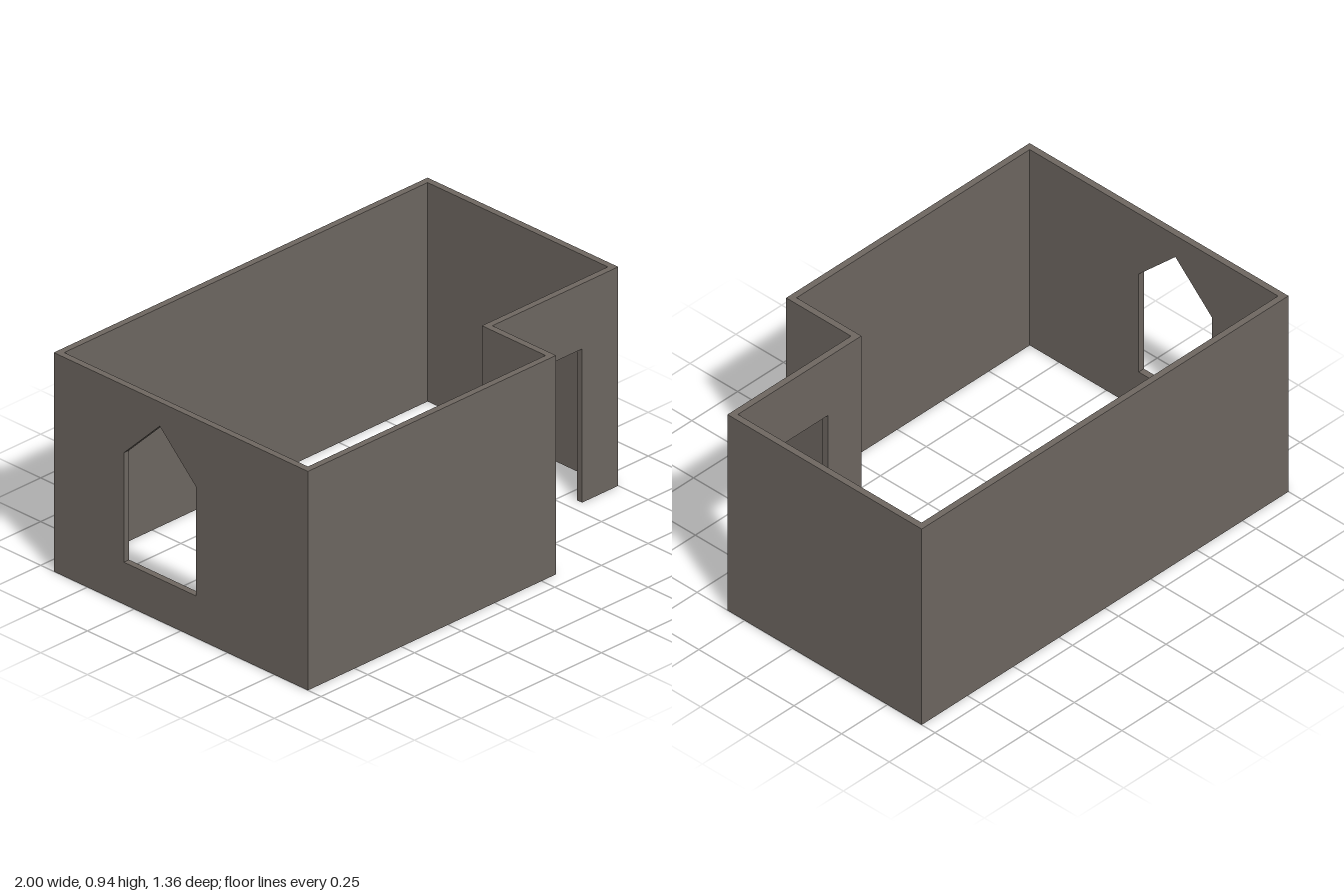
import * as THREE from 'three';

const HEIGHT = 0.937, THICK = 0.028;

// Outer corners [x, z], running so that each wall faces outward.
const CORNERS = [[-1, 0.68], [0.327, 0.68], [0.327, 0.34], [1, 0.34], [1, -0.68], [-1, -0.68]];
const NAMES = ['frontWall', 'porchSideWall', 'doorWall', 'leftSideWall', 'backWall', 'windowWall'];

const polygon = (points) => points.map(([x, y]) => new THREE.Vector2(x, y));

// Openings measured along the wall from its first corner.
const DOOR = [[0.154, 0], [0.154, 0.658], [0.48, 0.658], [0.48, 0]];
const WINDOW = [[0.375, 0.18], [0.76, 0.18], [0.76, 0.648], [0.567, 0.834], [0.375, 0.648]];

export function createModel() {
  const group = new THREE.Group();
  group.name = 'roofless house shell';
  const stone = new THREE.MeshStandardMaterial({ color: 0x6e6761 });
  stone.name = 'grey brown stone';

  const n = CORNERS.length;
  const corner = (i) => new THREE.Vector2(...CORNERS[(i + n) % n]);
  const direction = (i) => corner(i + 1).sub(corner(i)).normalize();
  // +1 at outward corners, -1 at the inward corner of the porch
  const bend = (i) => -Math.sign(direction(i - 1).cross(direction(i)));

  NAMES.forEach((name, i) => {
    const start = corner(i), dir = direction(i);
    const length = start.distanceTo(corner(i + 1));

    // Wall face, with a door notch down to the ground or a pointed window hole
    const notch = name === 'doorWall' ? DOOR : [];
    const shape = new THREE.Shape(polygon([[0, 0], ...notch, [length, 0], [length, HEIGHT], [0, HEIGHT]]));
    if (name === 'windowWall') shape.holes.push(new THREE.Path(polygon(WINDOW)));

    const geometry = new THREE.ExtrudeGeometry(shape, { depth: THICK, bevelEnabled: false });
    geometry.translate(0, 0, -THICK);

    // Mitre the inner edges so neighbouring walls meet cleanly
    const p = geometry.attributes.position;
    for (let k = 0; k < p.count; k++) {
      if (p.getZ(k) > -THICK / 2) continue;
      if (p.getX(k) < 1e-4) p.setX(k, THICK * bend(i));
      else if (p.getX(k) > length - 1e-4) p.setX(k, length - THICK * bend(i + 1));
    }
    geometry.computeVertexNormals();

    const wall = new THREE.Mesh(geometry, stone);
    wall.name = name;
    wall.position.set(start.x, 0, start.y);
    wall.rotation.y = Math.atan2(-dir.y, dir.x);
    group.add(wall);
  });
  return group;
}
